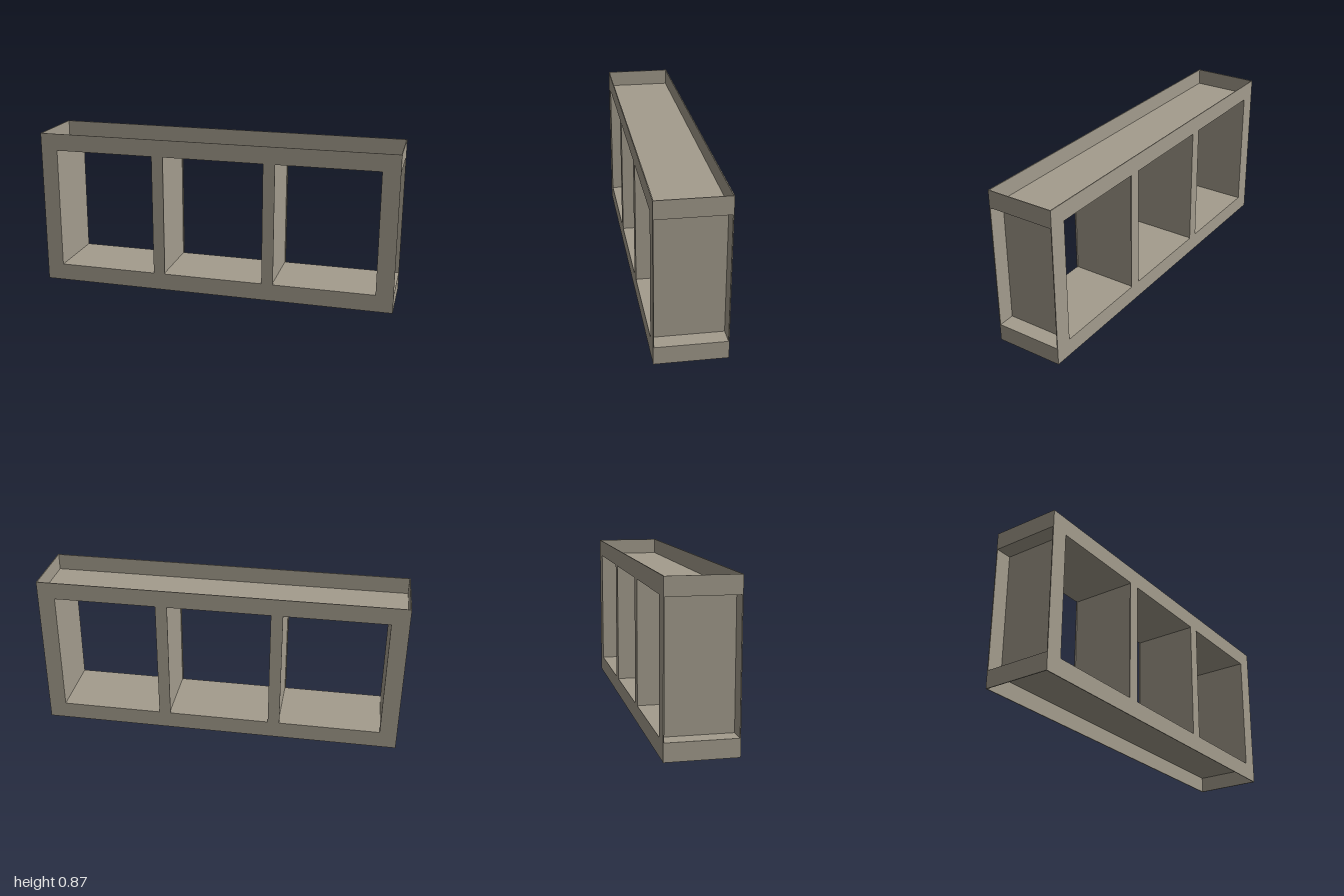
import * as THREE from 'three';

const W = 2, H = 0.87, D = 0.374; // overall size
const RAIL = 0.095;               // depth of the outer channels
const POST = 0.065, POST_X = 0.3125; // inner posts: width and centre
const T = 0.005;                  // sheet thickness

export function createModel() {
  const group = new THREE.Group();
  const metal = new THREE.MeshStandardMaterial({ color: 0xa39c8d });

  const add = (name, geometry, x, y, z) => {
    const mesh = new THREE.Mesh(geometry, metal);
    mesh.name = name;
    mesh.position.set(x, y, z);
    group.add(mesh);
  };
  const sheet = (name, w, h, d, x, y, z = 0) =>
    add(name, new THREE.BoxGeometry(w, h, d), x, y, z);
  const rectangle = (path, x0, y0, x1, y1) =>
    path.moveTo(x0, y0).lineTo(x1, y0).lineTo(x1, y1).lineTo(x0, y1).closePath();

  // Front and back faces: one flat sheet with three openings
  const face = new THREE.Shape();
  rectangle(face, -W / 2, 0, W / 2, H);
  const inner = W / 2 - RAIL, a = POST_X - POST / 2, b = POST_X + POST / 2;
  for (const [x0, x1] of [[-inner, -b], [-a, a], [b, inner]]) {
    const hole = new THREE.Path();
    rectangle(hole, x0, RAIL, x1, H - RAIL);
    face.holes.push(hole);
  }
  const faceGeometry = new THREE.ExtrudeGeometry(face, { depth: T, bevelEnabled: false });
  add('frontFace', faceGeometry, 0, 0, D / 2 - T);
  add('backFace', faceGeometry, 0, 0, -D / 2);

  // Webs of the top and bottom channels, open outwards
  const depth = D - 2 * T;
  sheet('topWeb', W, T, depth, 0, H - RAIL + T / 2);
  sheet('bottomWeb', W, T, depth, 0, RAIL - T / 2);

  for (const side of [1, -1]) {
    const label = side > 0 ? 'left' : 'right';
    // Recessed web of the end channel
    sheet(label + 'EndWeb', T, H - 2 * RAIL, depth, side * (inner + T / 2), H / 2);
    // Caps closing the ends of the top and bottom channels
    for (const [level, y] of [['Top', H - RAIL / 2], ['Bottom', RAIL / 2]]) {
      sheet(label + level + 'Cap', T, RAIL, depth, side * (W / 2 - T / 2), y);
    }
    // Inner post, its walls set slightly in from the face edges
    sheet(label + 'Post', POST - 0.012, H - 2 * RAIL, depth, side * POST_X, H / 2);
  }
  return group;
}
